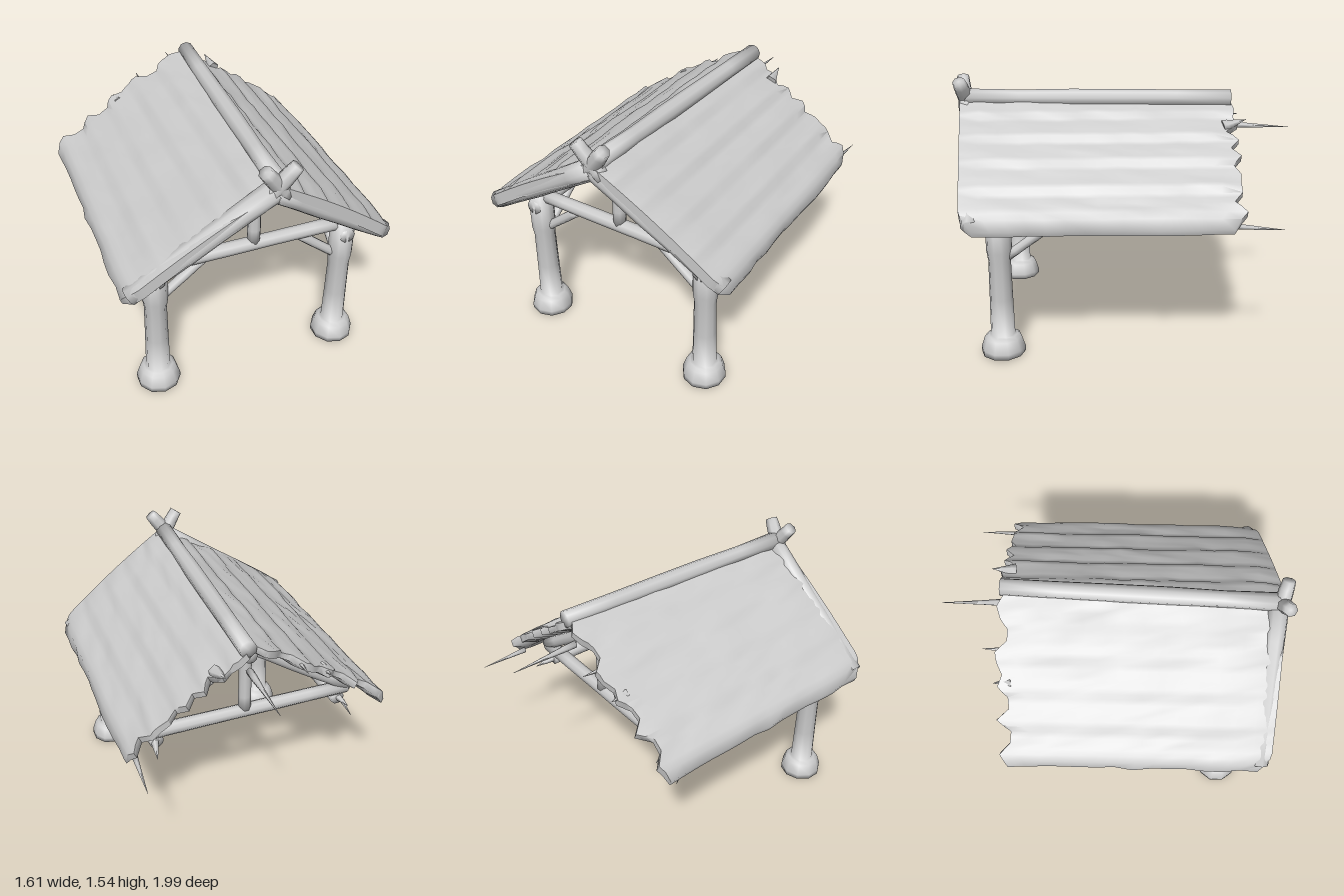
import * as THREE from 'three';
import { toCreasedNormals } from 'three/addons/utils/BufferGeometryUtils.js';

const wood = new THREE.MeshStandardMaterial({ color: 0xcccccc });
wood.name = 'pale wood';
wood.side = THREE.DoubleSide;

// repeatable noise in -1..1
const noise = (a, b = 0) => {
  const n = Math.sin(a * 127.1 + b * 311.7 + 5.3) * 43758.5453;
  return (n - Math.floor(n)) * 2 - 1;
};
const lerp = THREE.MathUtils.lerp;

// rough-hewn log running from a to b, with softly worn ends
function log(name, a, b, r0, r1 = r0, sides = 9) {
  const A = new THREE.Vector3(...a), B = new THREE.Vector3(...b);
  const len = A.distanceTo(B), rings = 5;
  const geo = new THREE.CylinderGeometry(r1, r0, len, sides, rings);
  const p = geo.attributes.position;
  for (let i = 0; i < p.count; i++) {
    const ring = Math.round((p.getY(i) / len + 0.5) * rings);
    const k = 1 + 0.06 * noise(ring, len * 3 + a[0]);
    p.setX(i, p.getX(i) * k);
    p.setZ(i, p.getZ(i) * k);
  }
  const mesh = new THREE.Mesh(toCreasedNormals(geo, 1.7), wood);
  mesh.name = name;
  mesh.position.copy(A).add(B).multiplyScalar(0.5);
  mesh.quaternion.setFromUnitVectors(new THREE.Vector3(0, 1, 0), B.sub(A).normalize());
  return mesh;
}

// one shaggy roof slope: overlapping courses, ragged back edge
function roofSlope(side) {
  const N = 30, M = 14, courses = 5, pos = [], idx = [];
  for (let j = 0; j <= M; j++) {
    const t = j / M;
    for (let i = 0; i <= N; i++) {
      const u = i / N;
      const front = 0.965 - 0.04 * u - (side > 0 ? 0.03 * u : 0) - 0.07 * Math.max(0, (u - 0.9) / 0.1) ** 2;
      const jag = lerp(noise(Math.floor(i / 2), side * 7), noise(Math.floor(i / 2) + 1, side * 7), (i % 2) / 2);
      const back = -0.625 + 0.045 * jag;
      const edge = i === N ? 0.012 * noise(j, side) : 0;
      const x = lerp(0.05, side * 0.797, u) + edge;
      const droop = 0.045 * Math.max(0, (u - 0.92) / 0.08) ** 2;
      const y = lerp(1.405, 0.875, u) + 0.02 * Math.sin(Math.PI * u) - droop;
      const z = lerp(front, back, t);
      // each course thickens toward its lower lip, thinning out at both ends
      const step = 0.02 * ((u * courses) % 1) + 0.006 * noise(i >> 1, j + side * 31);
      const lip = i === N || j === 0 ? 0 : step;
      pos.push(x + side * lip * 0.55, y + lip * 0.8, z);
      const thick = i === N || j === M ? 0.03 : 0.065;
      pos.push(x - side * thick * 0.4, y - thick, z);
    }
  }
  const id = (j, i, k) => (j * (N + 1) + i) * 2 + k;
  const quad = (a, b, c, d) => side > 0 ? idx.push(a, b, c, a, c, d) : idx.push(a, c, b, a, d, c);
  for (let j = 0; j < M; j++) {
    for (let i = 0; i < N; i++) {
      quad(id(j, i, 0), id(j, i + 1, 0), id(j + 1, i + 1, 0), id(j + 1, i, 0));
      quad(id(j, i, 1), id(j + 1, i, 1), id(j + 1, i + 1, 1), id(j, i + 1, 1));
    }
    quad(id(j, N, 0), id(j, N, 1), id(j + 1, N, 1), id(j + 1, N, 0));
    quad(id(j, 0, 1), id(j, 0, 0), id(j + 1, 0, 0), id(j + 1, 0, 1));
  }
  for (let i = 0; i < N; i++) {
    quad(id(0, i, 1), id(0, i + 1, 1), id(0, i + 1, 0), id(0, i, 0));
    quad(id(M, i, 0), id(M, i + 1, 0), id(M, i + 1, 1), id(M, i, 1));
  }
  const geo = new THREE.BufferGeometry();
  geo.setAttribute('position', new THREE.Float32BufferAttribute(pos, 3));
  geo.setIndex(idx);
  const mesh = new THREE.Mesh(toCreasedNormals(geo, 1.2), wood);
  mesh.name = side > 0 ? 'leftRoofSlope' : 'rightRoofSlope';
  return mesh;
}

// front post standing on a flared, rounded foot
function post(side) {
  const profile = [[0, 0], [0.07, 0.001], [0.128, 0.008], [0.128, 0.04], [0.107, 0.105], [0.085, 0.12],
    [0.071, 0.125], [0.067, 0.35], [0.064, 0.58], [0.073, 0.64], [0.073, 0.88], [0, 0.89]];
  const geo = new THREE.LatheGeometry(profile.map(p => new THREE.Vector2(...p)), 10);
  const mesh = new THREE.Mesh(toCreasedNormals(geo, 1.7), wood);
  mesh.name = side > 0 ? 'leftPost' : 'rightPost';
  mesh.position.set(side * 0.57, 0, 0.71);
  return mesh;
}

// triangular frame: tie beam, king post and two rafters
function truss(name, z, kingX) {
  const g = new THREE.Group();
  g.name = name;
  g.add(log('tieBeam', [-0.63, 0.865, z], [0.63, 0.865, z], 0.042));
  g.add(log('kingPost', [kingX, 0.88, z], [kingX, 1.34, z], 0.038));
  for (const s of [-1, 1]) g.add(log('trussRafter', [s * 0.64, 0.875, z], [0.02, 1.3, z], 0.04));
  return g;
}

export function createModel() {
  const model = new THREE.Group();
  model.name = 'openShelter';

  model.add(truss('frontTruss', 0.71, 0.01), truss('backTruss', -0.45, 0.03));

  for (const s of [-1, 1]) {
    model.add(roofSlope(s), post(s));
    // log tucked under the leaning gable edge, and its crossed tip
    model.add(log('gableLog', [s * 0.755, 0.85, s > 0 ? 0.835 : 0.865], [0.015 - s * 0.01, 1.365, 0.915], 0.055, 0.062));
    model.add(log('gableHorn', [0.03 - s * 0.05, 1.33, 0.92], [0.033 + s * 0.088, 1.515, 0.955], 0.05, 0.039, 7));
    // side plate and knee braces
    model.add(log('sidePlate', [s * 0.57, 0.805, 0.78], [s * 0.57, 0.805, -0.47], 0.045));
    model.add(log('frontBrace', [s * 0.55, 0.63, 0.71], [s * 0.28, 0.85, 0.71], 0.028));
    model.add(log('sideBrace', [s * 0.57, 0.60, 0.67], [s * 0.57, 0.80, 0.40], 0.028));
    // broad common rafters half sunk into the roof
    for (const z of [0.32, -0.07]) {
      model.add(log('commonRafter', [s * 0.66, 0.89, z], [0.02, 1.325, z], 0.046));
    }
  }

  // ridge logs above and below the roof
  model.add(log('ridgeLog', [0.04, 1.405, 0.93], [0.095, 1.405, -0.64], 0.052));
  model.add(log('ridgeBeam', [0.02, 1.29, 0.78], [0.04, 1.29, -0.55], 0.04));

  // broken splinters at the torn back end
  const splinters = [
    [[0.07, 1.24, -0.6], [0.07, 1.22, -1.0], 0.024],
    [[0.73, 0.83, -0.58], [0.745, 0.81, -0.87], 0.018],
    [[-0.22, 1.24, -0.6], [-0.215, 1.24, -0.74], 0.018],
    [[0.26, 1.27, -0.58], [0.25, 1.31, -0.71], 0.04],
    [[-0.38, 1.15, -0.58], [-0.39, 1.15, -0.68], 0.03],
    [[-0.6, 0.82, -0.3], [-0.68, 0.64, -0.47], 0.03],
    [[0.57, 0.81, -0.42], [0.6, 0.77, -0.58], 0.035],
    [[-0.57, 0.81, -0.42], [-0.6, 0.79, -0.55], 0.035],
  ];
  for (const [a, b, r] of splinters) model.add(log('splinter', a, b, r, 0.001, 5));

  return model;
}
